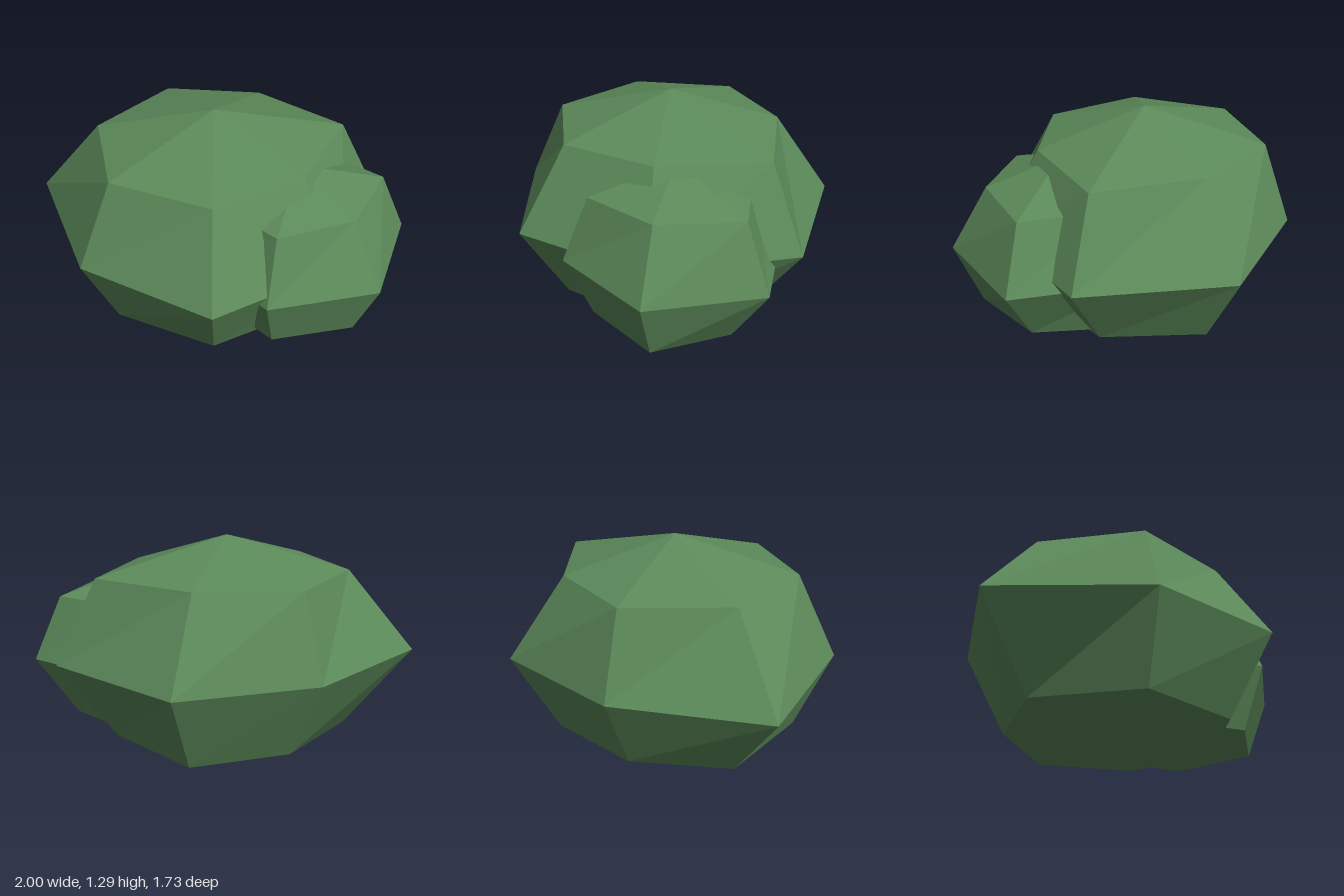
import * as THREE from 'three';

const leaf = new THREE.MeshStandardMaterial({ color: 0x5c8a5a, flatShading: true });
leaf.name = 'leafGreen';

// Faceted blob: a pole, uneven horizontal rings from top to bottom, another pole.
function blob(name, [cx, cy, cz], halfHeight, rings) {
  const n = rings[0].length;
  const pos = [cx, cy + halfHeight, cz];
  rings.forEach((radii, j) => {
    const y = cy + halfHeight * Math.cos(((j + 1) * Math.PI) / (rings.length + 1));
    radii.forEach((r, k) => {
      const a = (k / n) * Math.PI * 2;
      pos.push(cx + r * Math.cos(a), y, cz - r * Math.sin(a));
    });
  });
  pos.push(cx, cy - halfHeight, cz);

  const last = pos.length / 3 - 1;
  const at = (j, k) => 1 + j * n + (k % n);
  const index = [];
  for (let k = 0; k < n; k++) {
    index.push(0, at(0, k), at(0, k + 1));
    for (let j = 0; j < rings.length - 1; j++) {
      index.push(at(j, k), at(j + 1, k), at(j, k + 1));
      index.push(at(j, k + 1), at(j + 1, k), at(j + 1, k + 1));
    }
    index.push(last, at(rings.length - 1, k + 1), at(rings.length - 1, k));
  }
  const indexed = new THREE.BufferGeometry();
  indexed.setAttribute('position', new THREE.Float32BufferAttribute(pos, 3));
  indexed.setIndex(index);
  const geometry = indexed.toNonIndexed();
  geometry.computeVertexNormals();
  const mesh = new THREE.Mesh(geometry, leaf);
  mesh.name = name;
  return mesh;
}

export function createModel() {
  const group = new THREE.Group();
  group.name = 'bush';

  // Large seven-sided clump
  group.add(blob('mainFoliage', [-0.04, 0.645, -0.05], 0.645, [
    [0.75, 0.61, 0.67, 0.68, 0.68, 0.65, 0.6],
    [0.98, 0.93, 0.83, 1.06, 0.9, 0.94, 0.88],
    [0.66, 0.68, 0.595, 0.69, 0.7, 0.68, 0.66],
  ]));

  // Smaller six-sided clump at the front
  group.add(blob('sideFoliage', [0.35, 0.587, 0.28], 0.5, [
    [0.49, 0.42, 0.45, 0.5, 0.46, 0.4],
    [0.65, 0.6, 0.6, 0.6, 0.605, 0.61],
    [0.42, 0.45, 0.45, 0.48, 0.46, 0.47],
  ]));
  return group;
}
